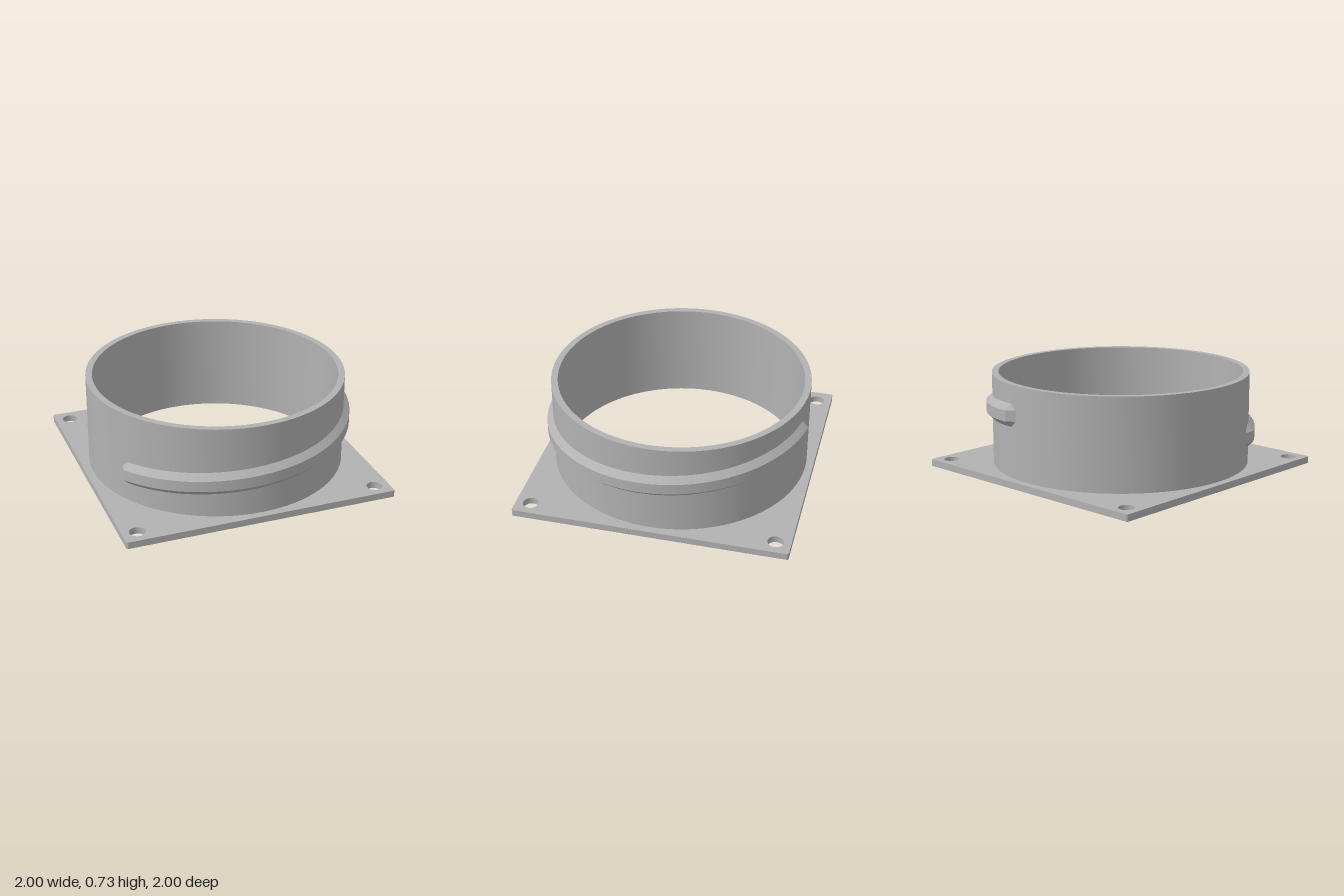
import * as THREE from 'three';
import { toCreasedNormals } from 'three/addons/utils/BufferGeometryUtils.js';

const INNER = 0.897, OUTER = 0.945, PLATE = 0.05, TOP = 0.725;

function circle(x, y, r, Type = THREE.Path) {
  const c = new Type();
  c.absarc(x, y, r, 0, Math.PI * 2, false);
  return c;
}

// Extrude a plan outline upwards from height y
function slab(shape, y, height) {
  const g = new THREE.ExtrudeGeometry(shape, { depth: height, bevelEnabled: false, curveSegments: 64 });
  g.rotateX(-Math.PI / 2).translate(0, y, 0);
  return toCreasedNormals(g, 0.5);
}

// Square outline with slightly rounded corners
function plateShape() {
  const s = new THREE.Shape(), r = 0.015, q = Math.PI / 2;
  [[1, 1], [-1, 1], [-1, -1], [1, -1]].forEach(([x, y], i) =>
    s.absarc(x * (1 - r), y * (1 - r), r, i * q, (i + 1) * q, false));
  s.closePath();
  s.holes.push(circle(0, 0, INNER));
  for (const x of [-0.89, 0.89]) for (const y of [-0.89, 0.89]) s.holes.push(circle(x, y, 0.057));
  return s;
}

// Helical rib with a trapezoid section, tapered to the wall at both ends
function threadGeometry() {
  const start = -60.2, end = 169, steps = 90, wall = 0.943, crest = 0.99;
  const section = (deg, rOut, halfIn) => {
    const a = THREE.MathUtils.degToRad(deg), y = 0.333 + deg * 0.00102;
    return [[wall, -halfIn], [rOut, -0.04], [rOut, 0.04], [wall, halfIn]]
      .map(([r, h]) => [r * Math.sin(a), y + h, r * Math.cos(a)]);
  };
  const rows = [section(start - 3.6, wall, 0.04)];
  for (let i = 0; i <= steps; i++) rows.push(section(start + (end - start) * i / steps, crest, 0.086));
  rows.push(section(end + 3.6, wall, 0.04));

  const pos = [];
  for (let i = 0; i < rows.length - 1; i++) {
    const a = rows[i], b = rows[i + 1];
    for (let k = 0; k < 3; k++) {
      pos.push(...a[k], ...b[k], ...b[k + 1], ...a[k], ...b[k + 1], ...a[k + 1]);
    }
  }
  const g = new THREE.BufferGeometry();
  g.setAttribute('position', new THREE.Float32BufferAttribute(pos, 3));
  return toCreasedNormals(g, 0.3);
}

export function createModel() {
  const group = new THREE.Group();
  group.name = 'threadedDuctFlange';
  const grey = new THREE.MeshStandardMaterial({ color: 0xb2b2b2 });
  grey.name = 'grey';

  const add = (name, geometry) => {
    const m = new THREE.Mesh(geometry, grey);
    m.name = name;
    group.add(m);
  };

  // Square mounting plate with screw holes
  add('mountingPlate', slab(plateShape(), 0, PLATE));

  // Open round collar
  const ring = circle(0, 0, OUTER, THREE.Shape);
  ring.holes.push(circle(0, 0, INNER));
  add('collar', slab(ring, PLATE, TOP - PLATE));

  // Rising screw thread
  add('screwThread', threadGeometry());
  return group;
}
